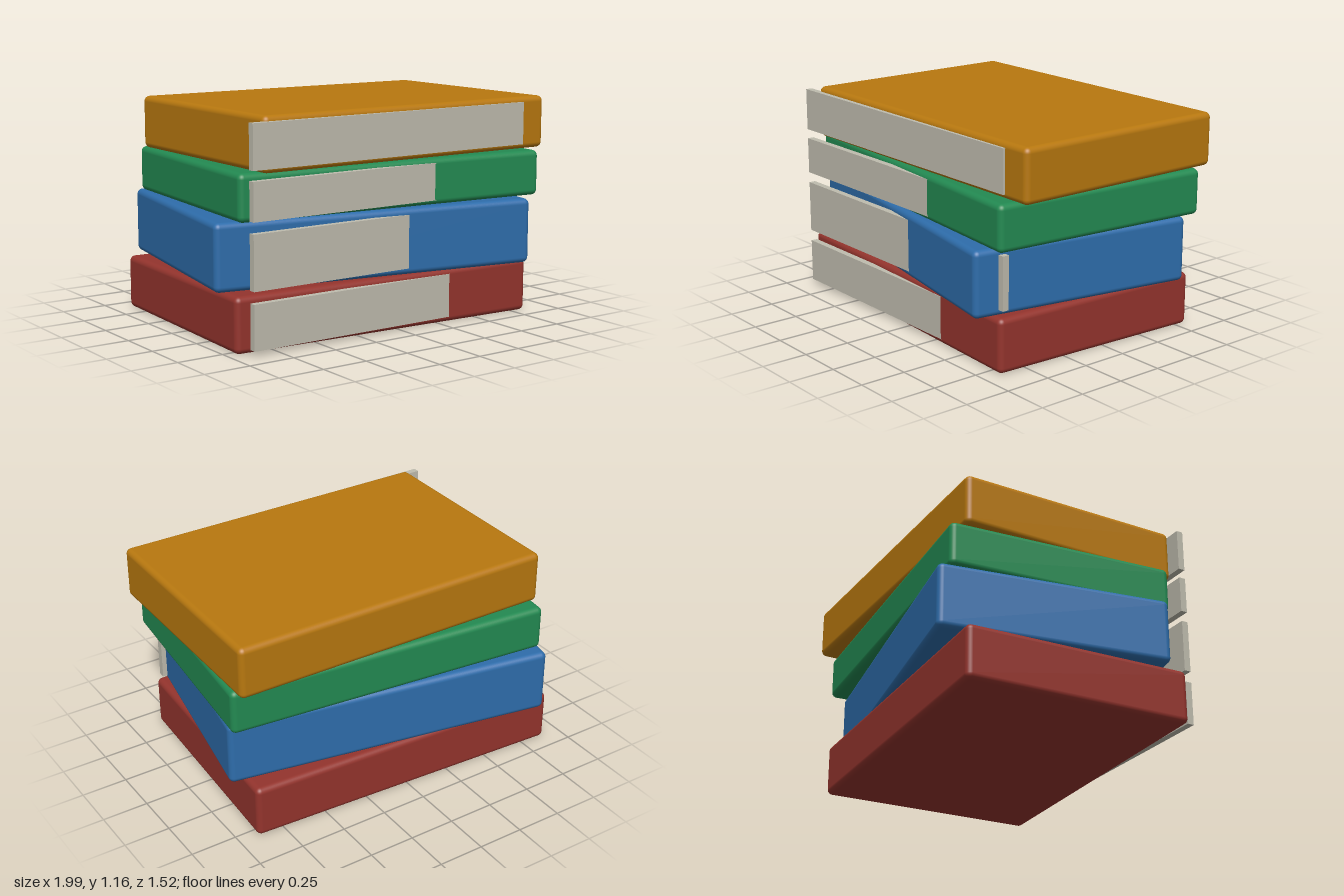
import * as THREE from 'three';
import { RoundedBoxGeometry } from 'three/addons/geometries/RoundedBoxGeometry.js';

const WIDTH = 1.795, DEPTH = 1.23;

function material(name, color) {
  const m = new THREE.MeshStandardMaterial({ color });
  m.name = name;
  return m;
}

// Bottom to top: cover colour, height range, turn about y, x offset
const BOOKS = [
  { name: 'red', color: 0x94342d, y0: 0.0, y1: 0.287, turn: -0.055, x: -0.03 },
  { name: 'blue', color: 0x2e6dab, y0: 0.289, y1: 0.636, turn: -0.18, x: -0.01 },
  { name: 'green', color: 0x238a52, y0: 0.638, y1: 0.881, turn: -0.1, x: 0.045 },
  { name: 'orange', color: 0xb8780f, y0: 0.883, y1: 1.164, turn: -0.01, x: 0.085 },
];

export function createModel() {
  const stack = new THREE.Group();
  stack.name = 'bookStack';
  const paper = material('paper', 0xbfbcae);

  for (const b of BOOKS) {
    const book = new THREE.Group();
    book.name = `${b.name}Book`;
    const height = b.y1 - b.y0;

    // Rounded cover block, each turned by its own angle
    const cover = new THREE.Mesh(
      new RoundedBoxGeometry(WIDTH, height, DEPTH, 4, 0.03),
      material(`${b.name}Cover`, b.color)
    );
    cover.name = 'cover';
    cover.position.set(b.x, (b.y0 + b.y1) / 2, 0);
    cover.rotation.y = b.turn;

    // Page strip along the front, square to the stack
    const pages = new THREE.Mesh(
      new THREE.BoxGeometry(1.72, height * 0.81, 0.036),
      paper
    );
    pages.name = 'pages';
    pages.position.set(-0.04, (b.y0 + b.y1) / 2, 0.617);

    book.add(cover, pages);
    stack.add(book);
  }
  return stack;
}
